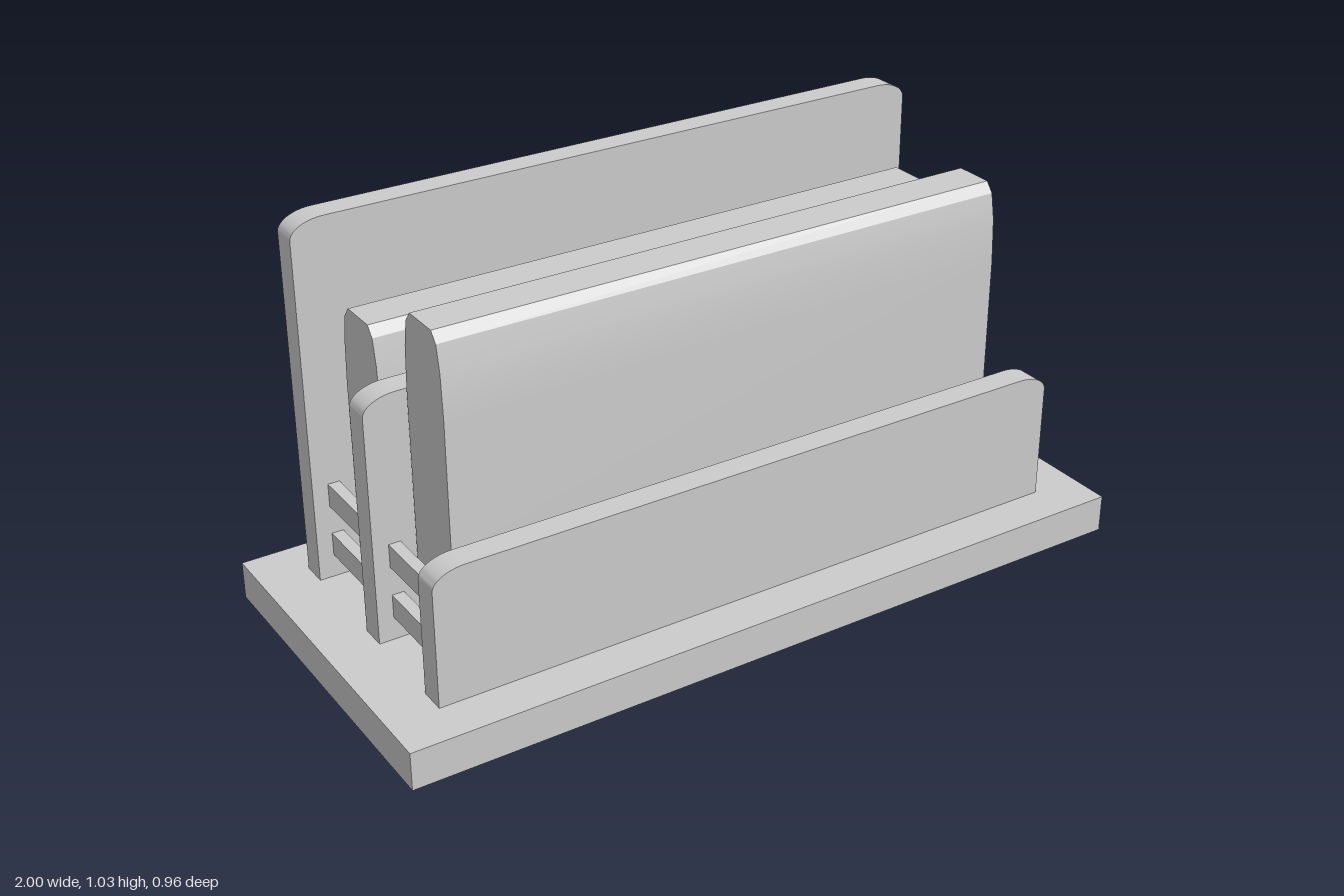
import * as THREE from 'three';
import { toCreasedNormals } from 'three/addons/utils/BufferGeometryUtils.js';

const material = new THREE.MeshStandardMaterial({ color: 0xcccccc, side: THREE.DoubleSide });

// Removes the triangles lying on the ground, leaving a shell open underneath.
function openBottom(geometry) {
  const flat = geometry.index ? geometry.toNonIndexed() : geometry;
  const p = flat.attributes.position;
  const kept = [];
  for (let i = 0; i < p.count; i += 3) {
    if (Math.max(p.getY(i), p.getY(i + 1), p.getY(i + 2)) < 1e-4) continue;
    for (let k = i; k < i + 3; k++) kept.push(p.getX(k), p.getY(k), p.getZ(k));
  }
  const shell = new THREE.BufferGeometry();
  shell.setAttribute('position', new THREE.Float32BufferAttribute(kept, 3));
  return toCreasedNormals(shell, 0.45);
}

function part(name, geometry, x = 0, y = 0, z = 0) {
  const mesh = new THREE.Mesh(geometry, material);
  mesh.name = name;
  mesh.position.set(x, y, z);
  return mesh;
}

// Upright board with softly rounded top corners.
function divider(name, height, z) {
  const half = 0.86, thick = 0.067, rx = 0.085, ry = 0.045;
  const s = new THREE.Shape();
  s.moveTo(-half, 0);
  s.lineTo(half, 0);
  s.lineTo(half, height - ry);
  s.absellipse(half - rx, height - ry, rx, ry, 0, Math.PI / 2, false, 0);
  s.absellipse(-half + rx, height - ry, rx, ry, Math.PI / 2, Math.PI, false, 0);
  s.closePath();
  const g = new THREE.ExtrudeGeometry(s, { depth: thick, bevelEnabled: false, curveSegments: 5 });
  return part(name, openBottom(g.translate(0, 0, -thick / 2)), 0, 0, z);
}

// Long block whose sides taper towards a flat top.
function block(name, height, half, z) {
  const side = [[0.0875, 0], [0.0875, height - 0.2], [0.082, height - 0.09], [0.07, height - 0.025], [0.05, height]];
  const outline = [...side, ...side.map(([x, y]) => [-x, y]).reverse()];
  const s = new THREE.Shape(outline.map(([x, y]) => new THREE.Vector2(x, y)));
  const g = new THREE.ExtrudeGeometry(s, { depth: half * 2, bevelEnabled: false });
  g.translate(0, 0, -half).rotateY(Math.PI / 2);
  return part(name, openBottom(g), 0, 0, z);
}

export function createModel() {
  const model = new THREE.Group();
  model.name = 'rack';

  // Hollow base plate
  model.add(part('base', openBottom(new THREE.BoxGeometry(1.975, 0.098, 0.905).translate(0, 0.049, 0))));

  // Stepped dividers
  model.add(divider('frontDivider', 0.443, 0.308));
  model.add(divider('middleDivider', 0.73, 0.012));
  model.add(divider('backDivider', 1.03, -0.31));

  // Blocks held between the dividers
  model.add(block('frontBlock', 0.932, 0.755, 0.1425));
  model.add(block('backBlock', 0.837, 0.775, -0.133));

  // Side rails joining the dividers
  for (const side of [-1, 1]) {
    for (const y of [0.187, 0.322]) {
      model.add(part(side > 0 ? 'leftRail' : 'rightRail', new THREE.BoxGeometry(0.03, 0.06, 0.6), side * 0.805, y, 0));
    }
  }

  // The whole piece stands slightly turned
  model.rotation.y = 0.0262;
  return model;
}
